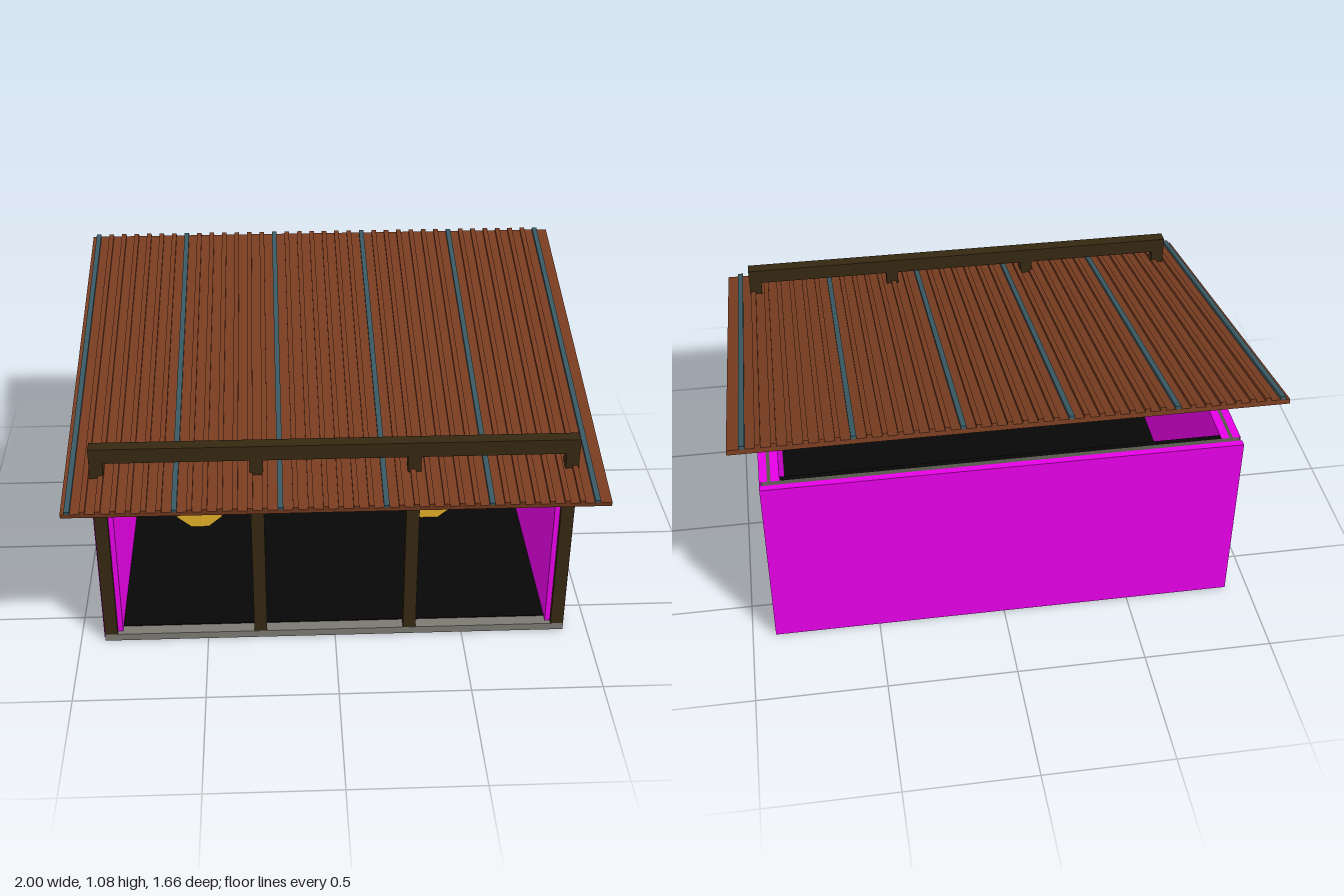
import * as THREE from 'three';

const mat = (name, color) => {
  const m = new THREE.MeshStandardMaterial({ color });
  m.name = name;
  return m;
};

export function createModel() {
  const magenta = mat('magenta panel', 0xf000f0);
  const black = mat('black lining', 0x070707);
  const timber = mat('dark timber', 0x352811);
  const rust = mat('rust roofing', 0x783c21);
  const slate = mat('slate rib', 0x395862);
  const concrete = mat('grey concrete', 0x7c7a72);
  const frame = mat('grey frame', 0x55564a);
  const straw = mat('straw', 0xdfae28);

  const model = new THREE.Group();
  model.name = 'shelter';

  // Box given by its extents on each axis
  const box = (name, material, [x0, x1], [y0, y1], [z0, z1], parent = model) => {
    const mesh = new THREE.Mesh(new THREE.BoxGeometry(x1 - x0, y1 - y0, z1 - z0), material);
    mesh.position.set((x0 + x1) / 2, (y0 + y1) / 2, (z0 + z1) / 2);
    mesh.name = name;
    parent.add(mesh);
    return mesh;
  };

  // Floor slab with a dark inner floor behind the sill
  box('floorSlab', concrete, [-0.905, 0.905], [0, 0.03], [-0.66, 0.65]);
  box('innerFloor', black, [-0.836, 0.836], [0.029, 0.034], [-0.61, 0.6]);

  // Side walls: two skins around a grey core
  const wallY = [0.002, 0.75];
  for (const s of [-1, 1]) {
    const span = (a, b) => (s > 0 ? [a, b] : [-b, -a]);
    const side = s > 0 ? 'left' : 'right';
    box(side + 'WallOuter', magenta, span(0.88, 0.91), wallY, [-0.625, 0.63]);
    box(side + 'WallCore', frame, span(0.867, 0.88), wallY, [-0.625, 0.629]);
    box(side + 'WallInner', magenta, span(0.835, 0.867), wallY, [-0.625, 0.63]);
  }

  // Back wall: outer skin, core and black inner lining
  box('backWallOuter', magenta, [-0.91, 0.91], wallY, [-0.672, -0.645]);
  box('backWallCore', frame, [-0.903, 0.903], wallY, [-0.645, -0.625]);
  box('backWallLining', black, [-0.835, 0.835], [0.03, 0.748], [-0.625, -0.6]);

  // Front posts passing through the roof to the beam
  for (const x of [-0.88, -0.293, 0.293, 0.88]) {
    box('frontPost', timber, [x - 0.025, x + 0.025], [0.03, 0.83], [0.602, 0.649]);
  }
  box('frontBeam', timber, [-0.905, 0.905], [0.825, 0.885], [0.6, 0.65]);

  // Sloping roof sheet with raised ribs, every seventh one slate
  const roof = new THREE.Group();
  roof.name = 'roof';
  roof.position.set(0, 0.893, 0);
  roof.rotation.x = Math.atan2(0.35, 1.65);
  model.add(roof);
  const half = 0.843;
  box('roofSheet', rust, [-1, 1], [-0.013, 0.005], [-half, half], roof);
  for (let i = 0; i < 36; i++) {
    const x = -0.975 + i * 0.0549;
    box('roofRib', i % 7 ? rust : slate, [x - 0.01, x + 0.01], [0.004, 0.017], [-half, half], roof);
  }

  // Round straw bales lying along the depth
  for (const [x, z] of [[-0.555, -0.17], [-0.355, -0.27], [0.445, -0.2]]) {
    const g = new THREE.CylinderGeometry(0.111, 0.111, 0.2, 9).toNonIndexed();
    g.rotateX(-Math.PI / 2);
    g.computeVertexNormals();
    const bale = new THREE.Mesh(g, straw);
    bale.name = 'strawBale';
    bale.position.set(x, 0.14, z);
    model.add(bale);
  }

  return model;
}
